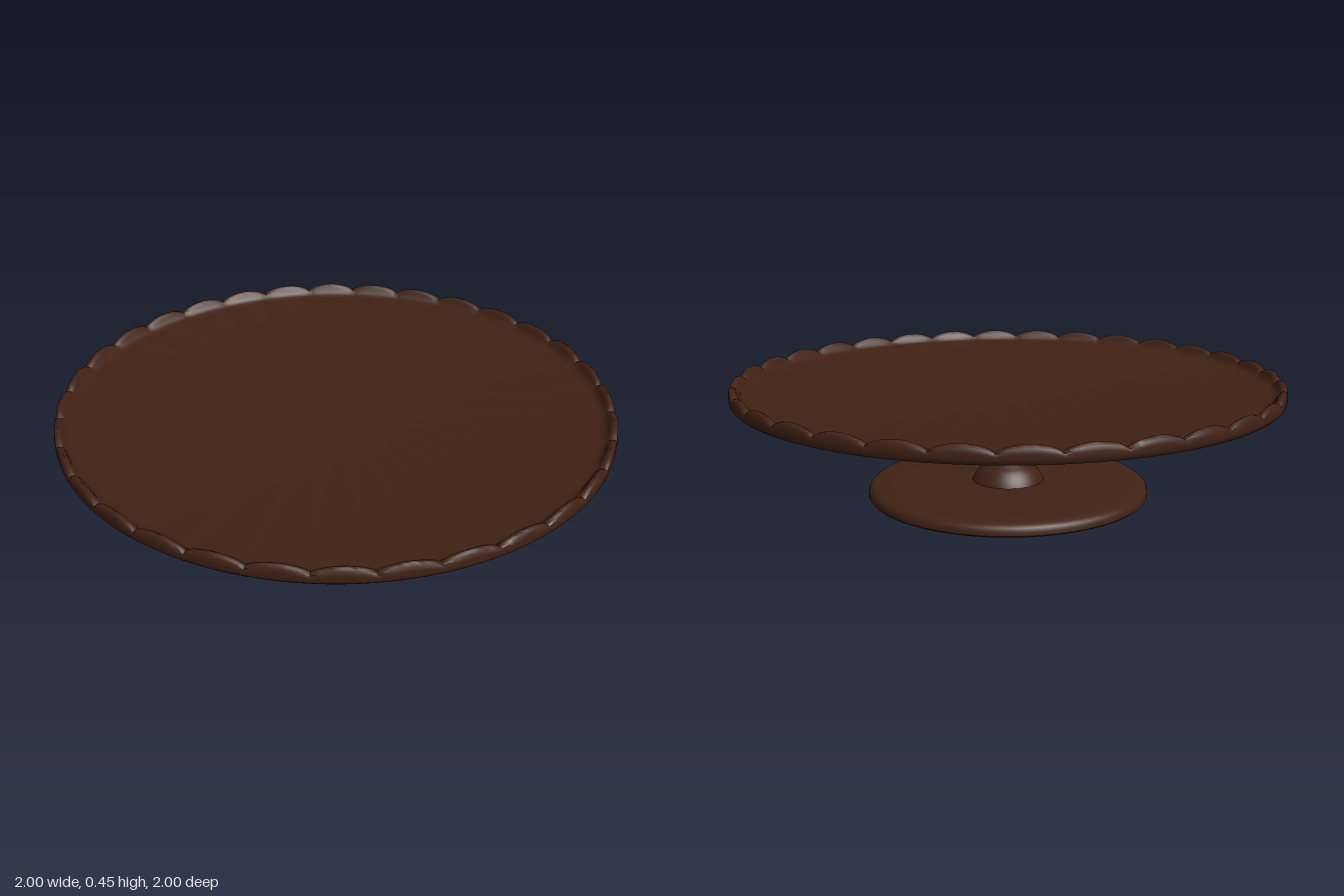
import * as THREE from 'three';
import { toCreasedNormals } from 'three/addons/utils/BufferGeometryUtils.js';

const SCALLOPS = 32;
const material = new THREE.MeshStandardMaterial({ color: 0x402114 });

// Revolve a profile of [radius, height] points, listed from the bottom up
function turn(profile, segments) {
  return new THREE.LatheGeometry(profile.map(([r, y]) => new THREE.Vector2(r, y)), segments);
}

function addPart(group, name, geometry) {
  const mesh = new THREE.Mesh(toCreasedNormals(geometry, 0.7), material);
  mesh.name = name;
  group.add(mesh);
}

export function createModel() {
  const group = new THREE.Group();
  group.name = 'cakeStand';

  // Round foot with a softened upper edge
  addPart(group, 'base', turn([
    [0, 0], [0.515, 0], [0.521, 0.006], [0.521, 0.02], [0.516, 0.033],
    [0.505, 0.041], [0.485, 0.046], [0.42, 0.049], [0, 0.049],
  ], 128));

  // Stem: bell-shaped foot, straight column, flared top
  const bell = new THREE.SplineCurve([
    [0.135, 0.045], [0.122, 0.07], [0.1, 0.097], [0.07, 0.117], [0.05, 0.135], [0.043, 0.16],
  ].map(p => new THREE.Vector2(...p))).getPoints(20);
  const flare = new THREE.SplineCurve([
    [0.043, 0.31], [0.05, 0.336], [0.072, 0.365], [0.112, 0.39],
  ].map(p => new THREE.Vector2(...p))).getPoints(14);
  addPart(group, 'stem', new THREE.LatheGeometry([...bell, ...flare], 64));

  // Plate with a raised lip, whose height is then scalloped around the edge
  const floor = 0.408;
  const plate = turn([
    [0, 0.386], [0.975, 0.386], [0.99, 0.389], [0.998, 0.397], [1, 0.408],
    [1, 0.425], [0.998, 0.44], [0.992, 0.448], [0.984, 0.45], [0.976, 0.446],
    [0.97, 0.435], [0.962, 0.42], [0.95, 0.411], [0.93, floor], [0, floor],
  ], SCALLOPS * 12);
  const pos = plate.attributes.position;
  for (let i = 0; i < pos.count; i++) {
    const y = pos.getY(i);
    if (y <= floor) continue;
    const angle = Math.atan2(pos.getX(i), pos.getZ(i));
    const wave = Math.abs(Math.sin(angle * SCALLOPS / 2)) ** 0.7;
    pos.setY(i, floor + (y - floor) * (0.42 + 0.58 * wave));
  }
  addPart(group, 'scallopedPlate', plate);

  return group;
}
